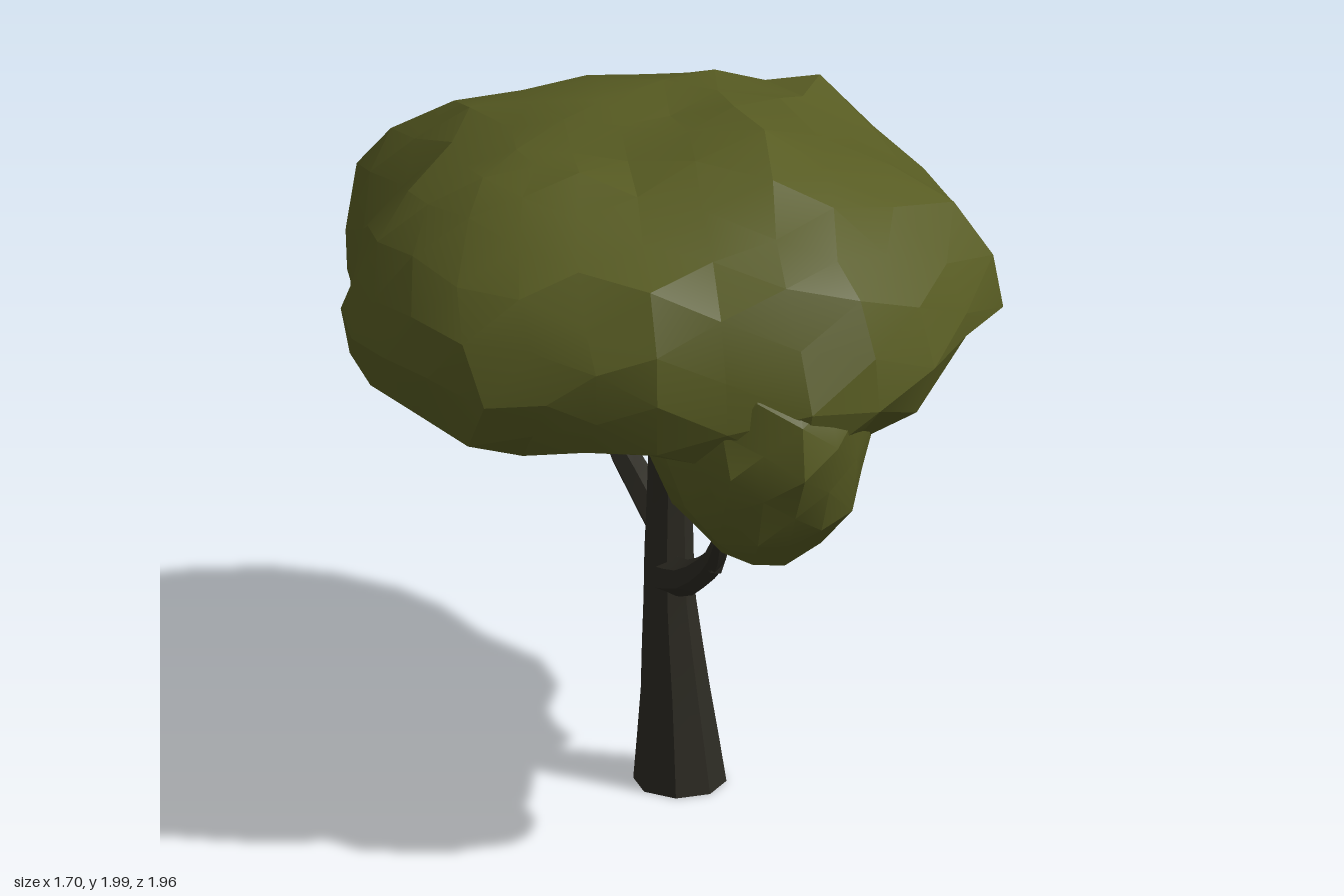
import * as THREE from 'three';
import { toCreasedNormals } from 'three/addons/utils/BufferGeometryUtils.js';

const foliage = new THREE.MeshStandardMaterial({ color: 0x575b22 });
foliage.name = 'olive foliage';
const bark = new THREE.MeshStandardMaterial({ color: 0x2d2b23 });
bark.name = 'dark bark';

// crown outline seen from above, as x, z pairs
const outline = [
  [0.82, 0.08], [0.82, 0.25], [0.76, 0.45], [0.66, 0.54], [0.65, 0.74], [0.54, 0.84], [0.31, 0.9],
  [0.12, 0.98], [-0.05, 0.99], [-0.2, 0.92], [-0.38, 0.78], [-0.57, 0.66], [-0.73, 0.42],
  [-0.84, 0.22], [-0.84, 0.02], [-0.77, -0.32], [-0.51, -0.58], [-0.31, -0.87], [-0.21, -0.98],
  [-0.04, -0.96], [0.31, -0.82], [0.42, -0.73], [0.55, -0.69], [0.7, -0.6], [0.84, -0.32],
].map(([x, z]) => ({ a: Math.atan2(z, x), r: Math.hypot(x, z) })).sort((p, q) => p.a - q.a);

function outlineRadius(a) {
  const n = outline.length;
  for (let i = 0; i < n; i++) {
    const p = outline[i], q = outline[(i + 1) % n];
    const span = (q.a - p.a + 2 * Math.PI) % (2 * Math.PI);
    const d = (a - p.a + 2 * Math.PI) % (2 * Math.PI);
    if (d <= span) return THREE.MathUtils.lerp(p.r, q.r, d / span);
  }
  return outline[0].r;
}

// crown section from the top centre, round the rim, to the hollow underside: radius share, height
const section = [
  [0, 1.92], [0.22, 1.92], [0.44, 1.9], [0.64, 1.84], [0.83, 1.75], [0.96, 1.61],
  [1, 1.45], [0.95, 1.31], [0.78, 1.29], [0.57, 1.37], [0.36, 1.44], [0.18, 1.48], [0, 1.5],
];

// local rises of the top, and sags or lifts of the rim: x, z, change in height, spread
const rises = [[0.08, 0.33, 0.08, 0.24], [0.6, 0.02, 0.09, 0.16], [0.1, 0.75, 0.04, 0.2], [-0.5, 0.0, 0.02, 0.25]];
const sags = [
  [-0.62, 0.12, -0.1, 0.28], [0.7, 0.2, -0.05, 0.18], [0.3, -0.62, -0.17, 0.2],
  [-0.14, 0.68, -0.16, 0.22], [0.48, 0.72, 0.13, 0.24],
];

const bumps = (list, x, z) => list.reduce(
  (sum, [bx, bz, h, s]) => sum + h * Math.exp(-((x - bx) ** 2 + (z - bz) ** 2) / (s * s)), 0);

function sample(table, u) {
  const s = THREE.MathUtils.clamp(u, 0, 1) * (table.length - 1);
  const i = Math.min(Math.floor(s), table.length - 2);
  return table[i].map((v, k) => THREE.MathUtils.lerp(v, table[i + 1][k], s - i));
}

// repeatable noise from a direction, so shared corners stay joined
function noise(v, seed) {
  const q = (n) => Math.round(n * 500);
  const s = Math.sin(q(v.x) * 12.9898 + q(v.y) * 78.233 + q(v.z) * 37.719 + seed * 4.37) * 437.585;
  return (s - Math.floor(s)) * 2 - 1;
}

// faceted ball whose corners are moved by a rule
function blob(name, detail, crease, rule) {
  const g = new THREE.IcosahedronGeometry(1, detail);
  g.deleteAttribute('uv');
  const p = g.attributes.position, v = new THREE.Vector3();
  for (let i = 0; i < p.count; i++) {
    v.fromBufferAttribute(p, i).normalize();
    p.setXYZ(i, ...rule(v));
  }
  g.deleteAttribute('normal');
  const mesh = new THREE.Mesh(toCreasedNormals(g, crease), foliage);
  mesh.name = name;
  return mesh;
}

// clump that narrows towards its foot
function lump(name, [cx, cy, cz], [rx, ry, rz], seed) {
  return blob(name, 2, 0.4, (v) => {
    const k = 1 + 0.06 * noise(v, seed), w = k * (1 + 0.12 * v.y);
    return [cx + v.x * rx * w, cy + v.y * ry * k, cz + v.z * rz * w];
  });
}

// tapering limb along a path; radii are spread evenly along it
function limb(name, points, radii, sides = 6) {
  const path = new THREE.CatmullRomCurve3(points.map((p) => new THREE.Vector3(...p)));
  const segs = (points.length - 1) * 2;
  const g = new THREE.TubeGeometry(path, segs, 1, sides);
  const p = g.attributes.position, v = new THREE.Vector3();
  for (let i = 0; i <= segs; i++) {
    const c = path.getPointAt(i / segs);
    const [r] = sample(radii.map((n) => [n]), i / segs);
    for (let j = 0; j <= sides; j++) {
      const k = i * (sides + 1) + j;
      v.fromBufferAttribute(p, k).sub(c).multiplyScalar(r).add(c);
      // a limb that starts on the ground is cut off level
      p.setXYZ(k, v.x, i === 0 && c.y === 0 ? 0 : v.y, v.z);
    }
  }
  const mesh = new THREE.Mesh(toCreasedNormals(g, 0.5), bark);
  mesh.name = name;
  return mesh;
}

export function createModel() {
  const tree = new THREE.Group();
  tree.name = 'tree';

  // main crown: hollow dome, lower at the back, with an uneven rim
  tree.add(blob('crown', 4, 0.3, (v) => {
    const a = Math.atan2(v.z, v.x);
    const [t, h] = sample(section, Math.acos(THREE.MathUtils.clamp(v.y, -1, 1)) / Math.PI);
    const r = outlineRadius(a) * t * (1 + 0.04 * noise(v, 1) * (1 - t * 0.6));
    const x = Math.cos(a) * r, z = Math.sin(a) * r;
    const under = THREE.MathUtils.smoothstep(-v.y, -0.15, 0.3);
    const y = h + bumps(rises, x, z) * (1 - under) + bumps(sags, x, z) * under
      + (z < 0 ? 0.1 : 0.02) * z * t + 0.022 * noise(v, 2);
    return [x, Math.min(y, 2), z];
  }));

  // clumps hanging below the rim
  tree.add(
    lump('frontClump', [-0.13, 1.26, 0.63], [0.28, 0.36, 0.32], 3),
    lump('backClump', [0.33, 1.25, -0.58], [0.2, 0.21, 0.2], 5),
  );

  // trunk with a closed foot
  tree.add(limb('trunk',
    [[0.06, 0, 0.075], [0.05, 0.25, 0.07], [0.035, 0.55, 0.062], [0.03, 0.82, 0.068], [0.03, 1.08, 0.08]],
    [0.125, 0.093, 0.07, 0.062, 0.06], 8));
  const foot = new THREE.Mesh(new THREE.CircleGeometry(0.125, 8), bark);
  foot.name = 'trunkFoot';
  foot.rotation.x = Math.PI / 2;
  foot.position.set(0.06, 0, 0.075);
  tree.add(foot);

  // low branches reaching into the hanging clumps
  tree.add(
    limb('lowFrontBranch', [[0.03, 0.61, 0.07], [-0.04, 0.68, 0.24], [-0.1, 0.8, 0.4], [-0.17, 0.92, 0.51], [-0.2, 1.05, 0.6]],
      [0.06, 0.048, 0.036, 0.02, 0.015]),
    limb('lowFrontTwig', [[-0.1, 0.78, 0.4], [-0.085, 0.87, 0.43], [-0.07, 0.97, 0.43]], [0.028, 0.02, 0.012], 5),
    limb('lowBackBranch', [[0.04, 0.72, 0.05], [0.08, 0.79, -0.1], [0.14, 0.88, -0.3], [0.2, 1.04, -0.44], [0.26, 1.2, -0.54]],
      [0.05, 0.045, 0.037, 0.027, 0.016]),
  );

  // upper fork spreading into the crown
  const upper = [
    [[0.03, 1.0, 0.08], [0.08, 1.14, 0.2], [0.14, 1.25, 0.36], [0.18, 1.36, 0.5]],
    [[0.03, 1.0, 0.06], [0.1, 1.13, -0.03], [0.2, 1.23, -0.14], [0.36, 1.34, -0.22]],
    [[0.03, 1.02, 0.08], [0.04, 1.18, 0.06], [0.06, 1.34, 0.03], [0.14, 1.5, 0.02]],
    [[0.03, 1.0, 0.07], [-0.1, 1.13, 0.03], [-0.24, 1.26, -0.08], [-0.38, 1.4, -0.18]],
  ];
  upper.forEach((p, i) => tree.add(limb('upperBranch' + (i + 1), p, [0.056, 0.046, 0.034, 0.018])));
  const twigs = [
    [[0.1, 1.2, 0.29], [0.15, 1.3, 0.28], [0.2, 1.42, 0.25]],
    [[0.17, 1.2, -0.11], [0.17, 1.32, -0.16], [0.2, 1.45, -0.18]],
    [[0.1, 1.12, -0.02], [0.18, 1.24, 0.04], [0.3, 1.36, 0.08]],
    [[-0.15, 1.19, -0.02], [-0.2, 1.3, 0.08], [-0.26, 1.42, 0.14]],
  ];
  twigs.forEach((p, i) => tree.add(limb('upperTwig' + (i + 1), p, [0.03, 0.024, 0.013], 5)));
  return tree;
}
